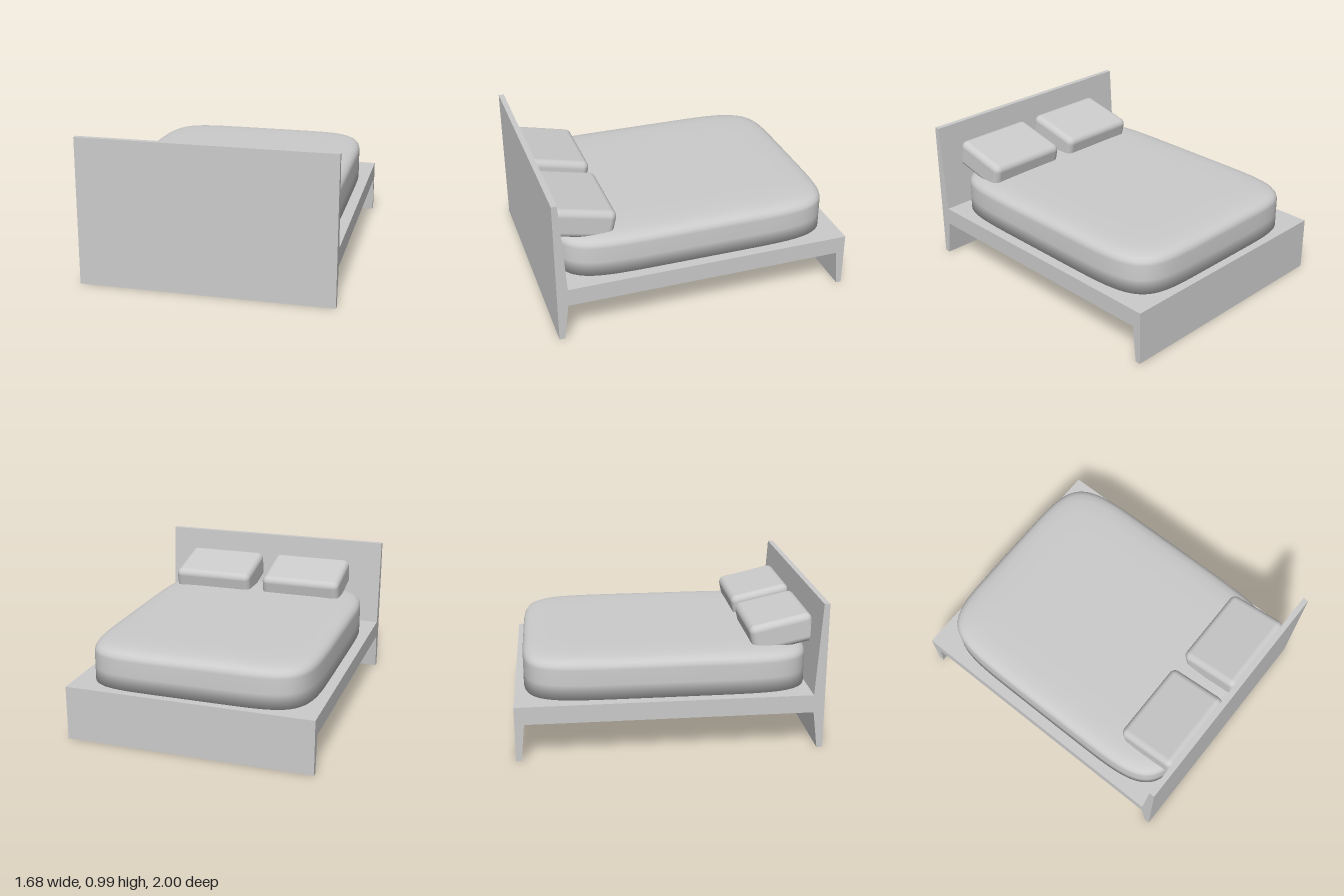
import * as THREE from 'three';
import { RoundedBoxGeometry } from 'three/addons/geometries/RoundedBoxGeometry.js';

const material = new THREE.MeshStandardMaterial({ color: 0xcccccc });

function addMesh(group, name, geometry) {
  const mesh = new THREE.Mesh(geometry, material);
  mesh.name = name;
  group.add(mesh);
  return mesh;
}

// Side profile (z, y) of headboard, platform and tapered legs, swept across the width
function frameGeometry() {
  const profile = [
    [1, 0], [1, 0.985], [0.963, 0.985], [0.927, 0.37], [-1, 0.37],
    [-1, 0], [-0.965, 0], [-0.94, 0.25], [0.93, 0.25], [0.962, 0],
  ];
  const shape = new THREE.Shape(profile.map(([z, y]) => new THREE.Vector2(z, y)));
  const geometry = new THREE.ExtrudeGeometry(shape, { depth: 1.676, bevelEnabled: false });
  return geometry.translate(0, 0, -0.838).rotateY(-Math.PI / 2);
}

// Soft rounded-rectangle outline, stacked in rings of [inset, height, scale]
function mattressGeometry() {
  const halfX = 0.767, halfZ = 0.945, power = 2 / 6.2, segments = 128;
  const rings = [
    [0, 0.365, 0], [0, 0.365, 1], [0, 0.47, 1], [0, 0.57, 1], [0.005, 0.592, 1],
    [0.018, 0.611, 1], [0.042, 0.625, 1], [0.085, 0.635, 1], [0.16, 0.641, 1],
    [0.3, 0.644, 1], [0.3, 0.645, 0],
  ];
  const soften = (v) => Math.sign(v) * Math.abs(v) ** power;
  const positions = [], indices = [];
  rings.forEach(([inset, y, scale], r) => {
    for (let i = 0; i < segments; i++) {
      const t = (i / segments) * Math.PI * 2;
      positions.push(
        (halfX - inset) * scale * soften(Math.cos(t)), y,
        (halfZ - inset) * scale * soften(Math.sin(t)),
      );
      if (r === rings.length - 1) continue;
      const a = r * segments + i, b = r * segments + ((i + 1) % segments);
      indices.push(a, a + segments, b, b, a + segments, b + segments);
    }
  });
  const geometry = new THREE.BufferGeometry();
  geometry.setAttribute('position', new THREE.Float32BufferAttribute(positions, 3));
  geometry.setIndex(indices);
  geometry.computeVertexNormals();
  return geometry;
}

export function createModel() {
  const bed = new THREE.Group();
  bed.name = 'bed';

  addMesh(bed, 'frame', frameGeometry());
  addMesh(bed, 'mattress', mattressGeometry());

  // Two pillows leaning up against the headboard
  for (const [name, x] of [['rightPillow', -0.309], ['leftPillow', 0.379]]) {
    const pillow = addMesh(bed, name, new RoundedBoxGeometry(0.585, 0.195, 0.425, 6, 0.045));
    pillow.position.set(x, 0.709, 0.765);
    pillow.rotation.x = -0.22;
  }
  return bed;
}
